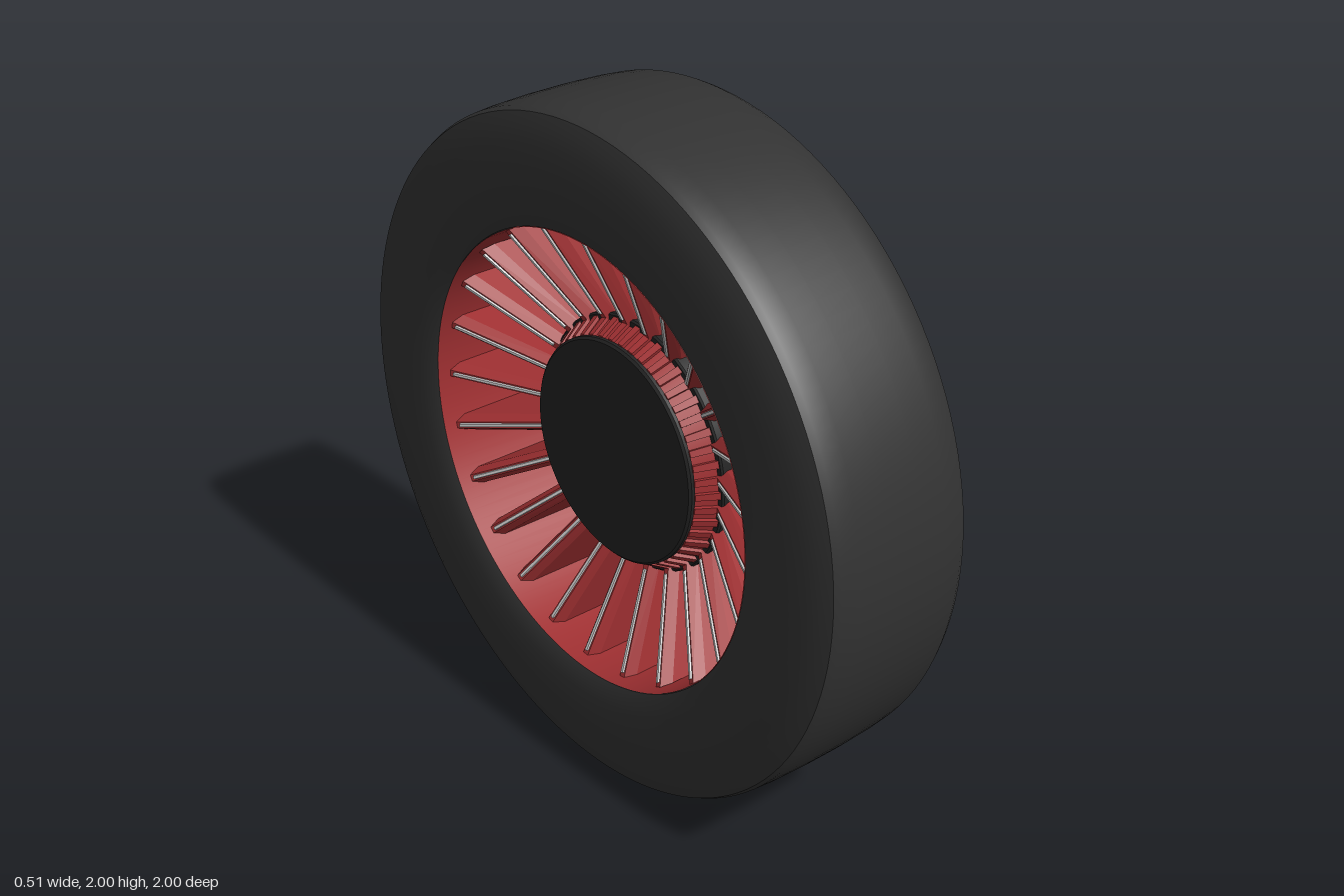
import * as THREE from 'three';
import { toCreasedNormals } from 'three/addons/utils/BufferGeometryUtils.js';
import { ConvexGeometry } from 'three/addons/geometries/ConvexGeometry.js';

const SPOKES = 25;
const TEETH = 50;

const rubber = new THREE.MeshStandardMaterial({ color: 0x323232 });
const red = new THREE.MeshStandardMaterial({ color: 0xa03032 });
const redThin = new THREE.MeshStandardMaterial({ color: 0xa03032, side: THREE.DoubleSide });
const black = new THREE.MeshStandardMaterial({ color: 0x222222 });
const grey = new THREE.MeshStandardMaterial({ color: 0xcccccc });

function part(parent, name, geometry, material) {
  const mesh = new THREE.Mesh(geometry, material);
  mesh.name = name;
  parent.add(mesh);
  return mesh;
}

// Revolves [radius, x] points around the x axis
function turned(points, segments = 96) {
  const profile = points.map(([r, x]) => new THREE.Vector2(r, x));
  return toCreasedNormals(new THREE.LatheGeometry(profile, segments).rotateZ(-Math.PI / 2), 0.6);
}

// Convex bar running out along y; each section is [radius, [[x, halfWidth], ...]]
function bar(sections) {
  const points = [];
  for (const [r, section] of sections)
    for (const [x, w] of section)
      for (const s of [-1, 1]) points.push(new THREE.Vector3(x, r, s * w));
  return new ConvexGeometry(points);
}

// Repeats meshes around the axle, starting toward -z
function ring(parent, name, count, geometry, material) {
  const group = new THREE.Group();
  group.name = name + 'Ring';
  for (let i = 0; i < count; i++)
    part(group, name, geometry, material).rotation.x = -Math.PI / 2 + (i * Math.PI * 2) / count;
  parent.add(group);
}

export function createModel() {
  const model = new THREE.Group();
  model.name = 'wheel';
  const wheel = new THREE.Group();
  wheel.name = 'wheelAssembly';
  wheel.position.y = 1;
  model.add(wheel);

  // Tyre: shallow crown, rounded shoulders and gently bulging walls
  const half = [[1, 0.06], [0.997, 0.15], [0.992, 0.21], [0.983, 0.228], [0.95, 0.24],
    [0.9, 0.249], [0.82, 0.255], [0.74, 0.252], [0.69, 0.243], [0.672, 0.235]];
  const mirrored = half.map(([r, x]) => [r, -x]).reverse();
  part(wheel, 'tyre', turned([...mirrored, ...half, mirrored[0]], 128), rubber);

  // Rim barrel lining the tyre
  part(wheel, 'rimBarrel', turned([[0.67, -0.236], [0.67, 0.236]], 128), redThin);

  // Deep blade spokes, flaring outward in depth, each with a bright front edge
  ring(wheel, 'spoke', SPOKES, bar([
    [0.35, [[0.1, 0.025], [-0.02, 0.025], [-0.05, 0.01]]],
    [0.668, [[0.1, 0.025], [-0.16, 0.025], [-0.195, 0.01]]],
  ]), red);
  ring(wheel, 'spokeTrim', SPOKES, bar([
    [0.38, [[-0.06, 0.007], [-0.069, 0.004]]],
    [0.655, [[-0.185, 0.007], [-0.195, 0.004]]],
  ]), grey);

  // Hub: dark drum, red inner plate, toothed collar and dark cap
  part(wheel, 'hubDrum', turned([[0, -0.05], [0.375, -0.05], [0.38, -0.045], [0.38, 0.1], [0, 0.1]]), black);
  part(wheel, 'hubPlate', turned([[0, 0.095], [0.385, 0.095], [0.385, 0.12], [0, 0.12]]), red);
  part(wheel, 'hubCollar', turned([[0, -0.112], [0.322, -0.112], [0.36, -0.05], [0, -0.05]]), red);
  ring(wheel, 'collarTooth', TEETH, bar([
    [0.3, [[-0.11, 0.009], [-0.045, 0.011]]],
    [0.336, [[-0.11, 0.009]]],
    [0.374, [[-0.045, 0.011]]],
  ]), red);
  part(wheel, 'hubCap', turned([[0, -0.125], [0.325, -0.125], [0.332, -0.119], [0.332, -0.108], [0, -0.108]]), black);

  return model;
}
